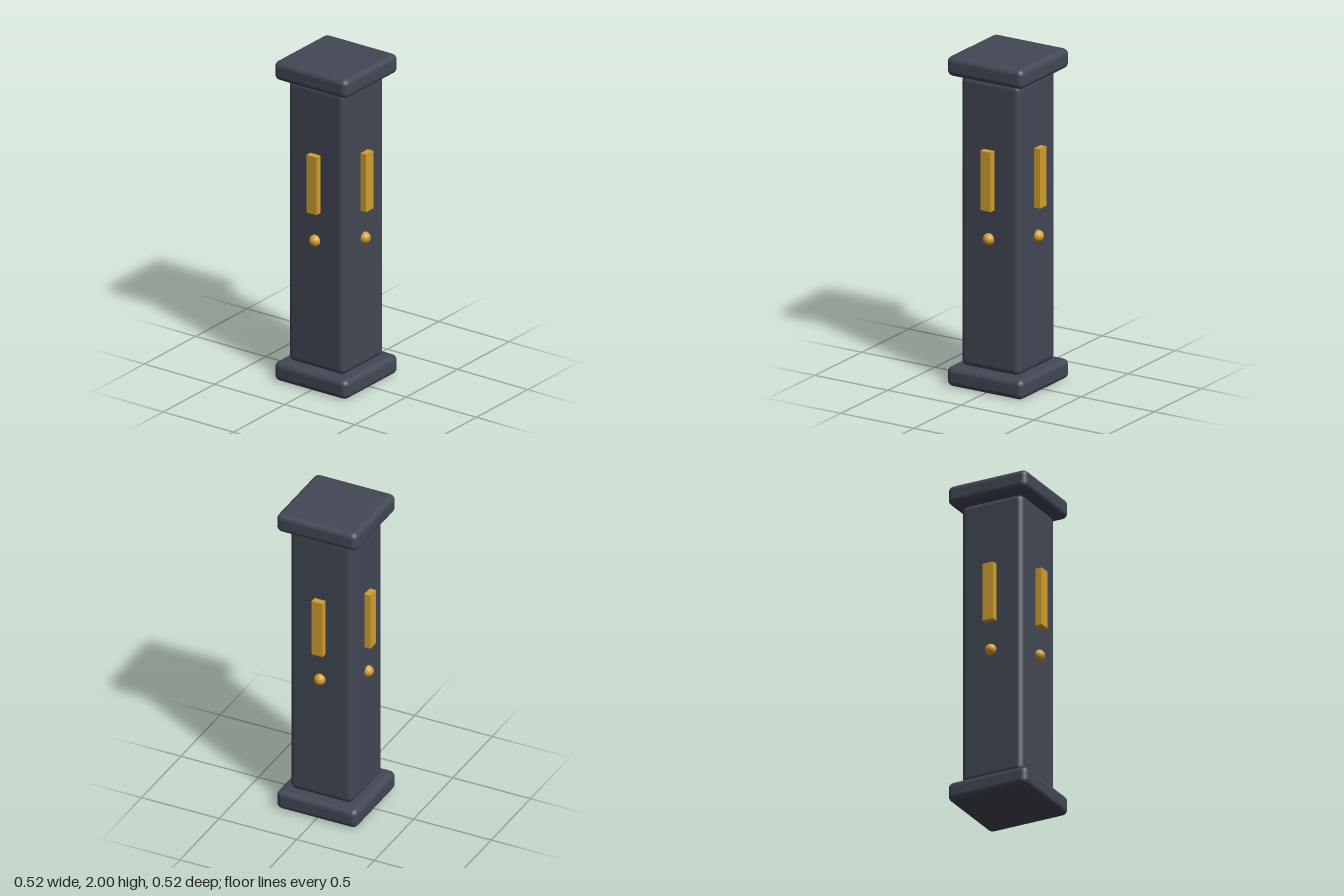
import * as THREE from 'three';
import { RoundedBoxGeometry } from 'three/addons/geometries/RoundedBoxGeometry.js';

export function createModel() {
  const model = new THREE.Group();
  model.name = 'pillar';
  const slate = new THREE.MeshStandardMaterial({ name: 'darkSlate', color: 0x434856 });
  const gold = new THREE.MeshStandardMaterial({ name: 'gold', color: 0xd4a02f });

  const add = (parent, name, geometry, material, y, z = 0) => {
    const mesh = new THREE.Mesh(geometry, material);
    mesh.name = name;
    mesh.position.set(0, y, z);
    parent.add(mesh);
  };

  // Shaft between two matching square slabs
  const slab = new RoundedBoxGeometry(0.52, 0.12, 0.52, 3, 0.036);
  add(model, 'base', slab, slate, 0.06);
  add(model, 'shaft', new RoundedBoxGeometry(0.4, 1.76, 0.4, 3, 0.036), slate, 1);
  add(model, 'cap', slab, slate, 1.94);

  // A raised bar and a round stud on each of the four faces
  const bar = new THREE.BoxGeometry(0.07, 0.36, 0.05);
  const stud = new THREE.SphereGeometry(0.035, 16, 12);
  ['front', 'left', 'back', 'right'].forEach((side, i) => {
    const trim = new THREE.Group();
    trim.name = side + 'Trim';
    trim.rotation.y = (i * Math.PI) / 2;
    add(trim, side + 'Bar', bar, gold, 1.283, 0.215);
    add(trim, side + 'Stud', stud, gold, 0.924, 0.205);
    model.add(trim);
  });

  return model;
}
